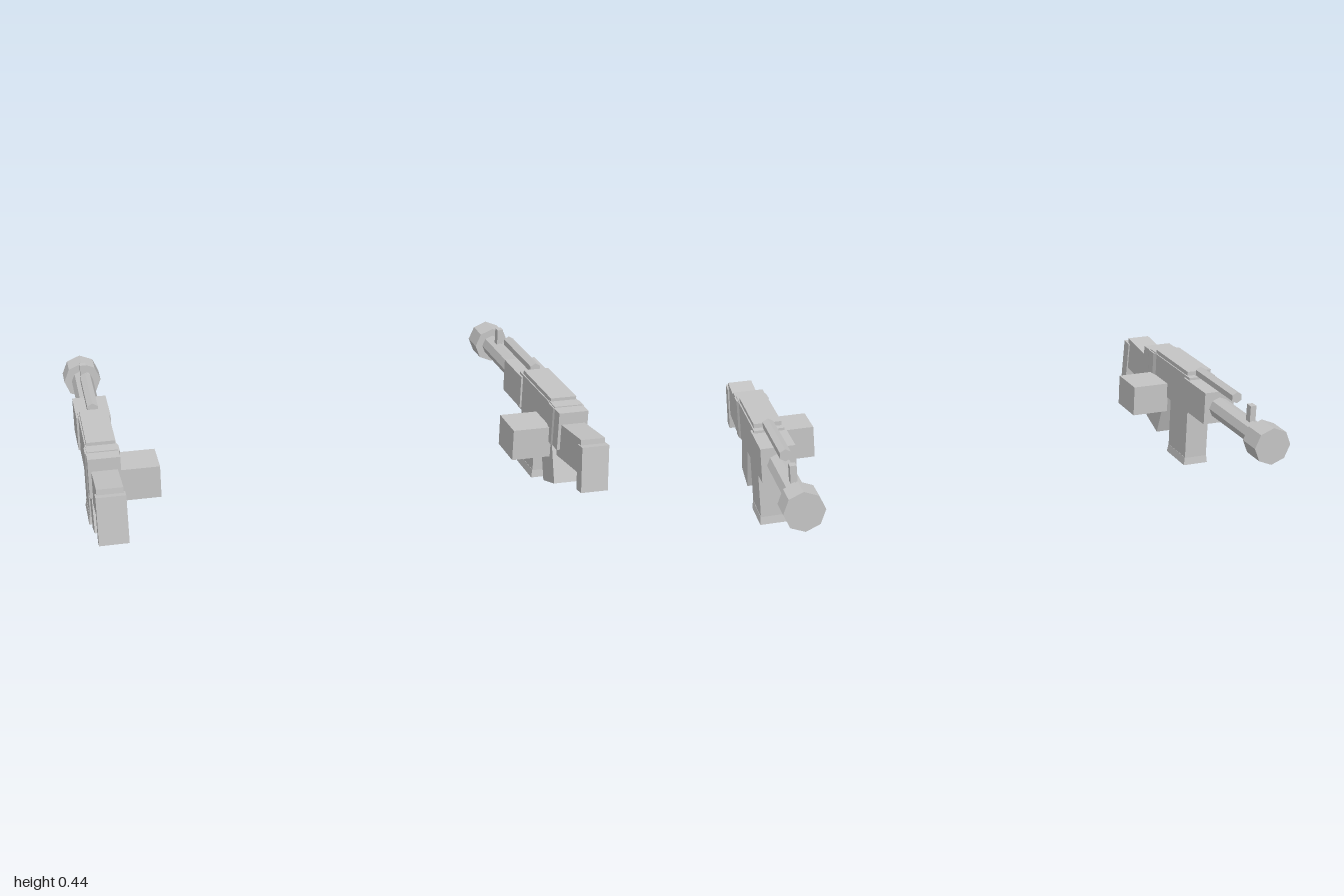
import * as THREE from 'three';

const grey = new THREE.MeshStandardMaterial({ color: 0xc4c4c4, flatShading: true });
grey.name = 'lightGrey';

function part(name, geometry, y = 0, z = 0, x = 0) {
  const mesh = new THREE.Mesh(geometry, grey);
  mesh.name = name;
  mesh.position.set(x, y, z);
  return mesh;
}

// Box given by its extents along y and z, centred on x unless shifted
function block(name, width, y0, y1, z0, z1, x = 0) {
  return part(name, new THREE.BoxGeometry(width, y1 - y0, z1 - z0), (y0 + y1) / 2, (z0 + z1) / 2, x);
}

// Box tilted about x
function tilted(name, width, height, depth, y, z, angle) {
  const mesh = part(name, new THREE.BoxGeometry(width, height, depth), y, z);
  mesh.rotation.x = angle;
  return mesh;
}

// Faceted rod along z
function rod(name, radius, sides, y, z0, z1) {
  const geometry = new THREE.CylinderGeometry(radius, radius, z1 - z0, sides).rotateX(Math.PI / 2);
  return part(name, geometry, y, (z0 + z1) / 2);
}

// Receiver: symmetric plan of [half width, z], raised from y0 to y1
function receiver(y0, y1) {
  const half = [[0.059, -0.04], [0.059, 0.29], [0.065, 0.31], [0.065, 0.355], [0.061, 0.365], [0.061, 0.413]];
  const outline = [...half, ...half.map(([w, z]) => [-w, z]).reverse()];
  const shape = new THREE.Shape(outline.map(([x, z]) => new THREE.Vector2(x, -z)));
  const geometry = new THREE.ExtrudeGeometry(shape, { depth: y1 - y0, bevelEnabled: false });
  return part('receiver', geometry.rotateX(-Math.PI / 2), y0);
}

// Magazine foot: a box whose top is drawn in to meet the magazine
function magazineBase() {
  const mesh = block('magazineBase', 0.11, 0, 0.034, -0.022, 0.15);
  const points = mesh.geometry.attributes.position;
  for (let i = 0; i < points.count; i++) {
    if (points.getY(i) > 0) points.setXYZ(i, points.getX(i) * 0.93, points.getY(i), points.getZ(i) * 0.95);
  }
  return mesh;
}

// One blaster; side is +1 or -1 and the side box points to the middle
function blaster(side) {
  const group = new THREE.Group();
  group.name = side > 0 ? 'leftBlaster' : 'rightBlaster';
  group.add(
    // Body
    receiver(0.248, 0.406),
    block('topStep', 0.116, 0.4, 0.41, 0.29, 0.355),
    block('topCover', 0.108, 0.4, 0.423, -0.01, 0.3),
    block('foreEnd', 0.134, 0.259, 0.396, -0.204, 0),
    // Barrel
    rod('barrel', 0.045, 8, 0.326, -0.56, -0.2),
    rod('muzzle', 0.077, 8, 0.326, -0.656, -0.557),
    rod('topTube', 0.024, 6, 0.42, -0.349, -0.02),
    block('frontSight', 0.025, 0.36, 0.434, -0.488, -0.456),
    // Stock and grip
    tilted('stock', 0.098, 0.14, 0.243, 0.296, 0.499, -0.115),
    tilted('buttPlate', 0.11, 0.184, 0.047, 0.267, 0.629, -0.115),
    tilted('grip', 0.1, 0.22, 0.121, 0.169, 0.292, -0.33),
    // Magazine
    block('magazine', 0.1, 0.01, 0.26, -0.018, 0.146),
    magazineBase(),
    // Side box
    block('sideBox', 0.16, 0.182, 0.311, 0.168, 0.33, -side * 0.135)
  );
  group.position.x = side * 0.923;
  return group;
}

export function createModel() {
  const model = new THREE.Group();
  model.name = 'blasterPair';
  for (const side of [-1, 1]) model.add(blaster(side));
  return model;
}
